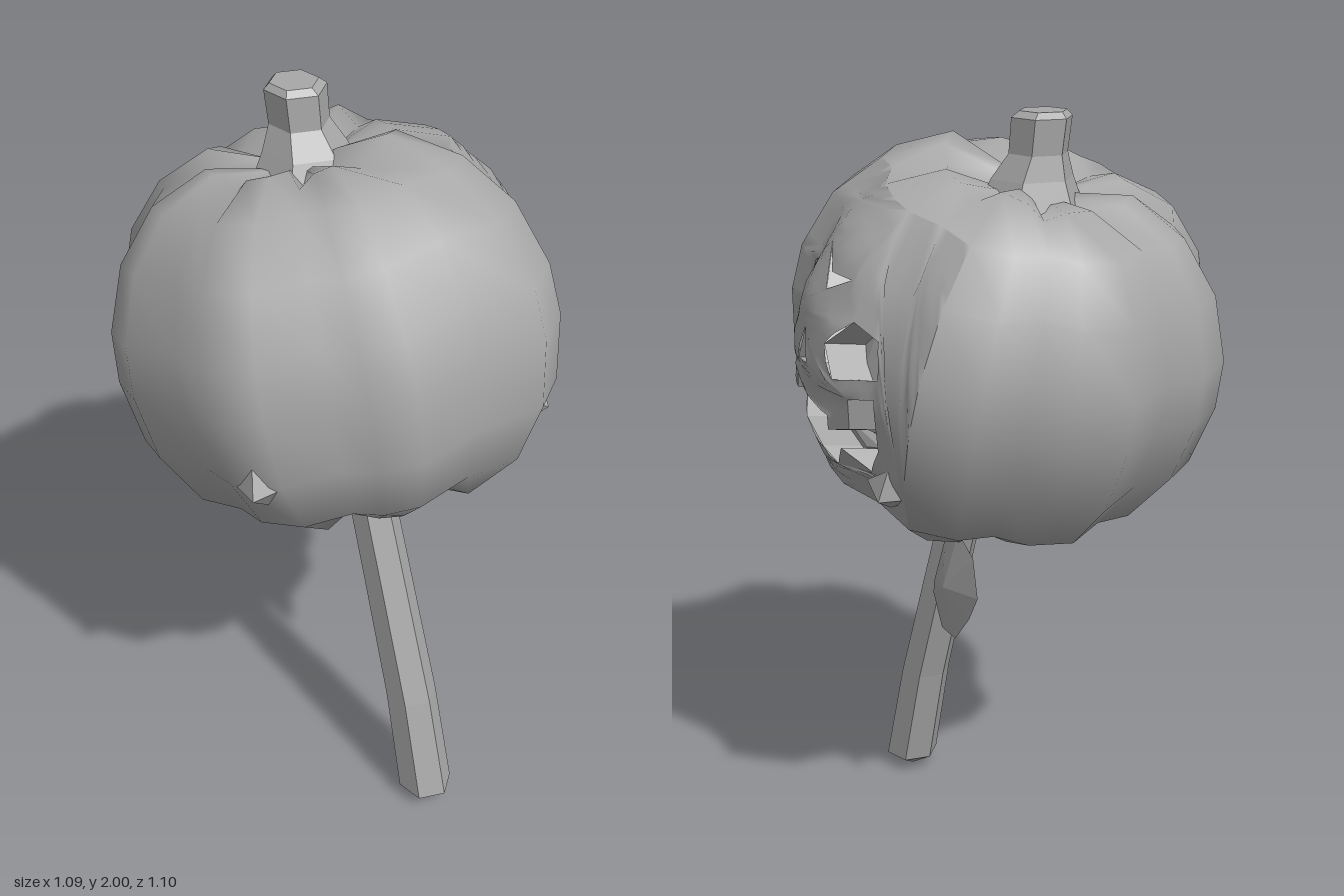
import * as THREE from 'three';
import { mergeVertices } from 'three/addons/utils/BufferGeometryUtils.js';

const grey = new THREE.MeshStandardMaterial({ color: 0xa8a8a8, side: THREE.DoubleSide });
grey.name = 'plain grey';

// Lobed outline (x, z) at the widest ring, ordered by angle
const outline = [
  [0.36, -0.46], [0.42, -0.31], [0.51, -0.2], [0.535, -0.1], [0.54, 0.03], [0.475, 0.2], [0.5, 0.28], [0.41, 0.42],
  [0.24, 0.45], [0.06, 0.55], [-0.05, 0.54], [-0.13, 0.48], [-0.28, 0.48], [-0.39, 0.38], [-0.43, 0.26],
  [-0.53, 0.13], [-0.55, 0], [-0.48, -0.19], [-0.48, -0.3], [-0.39, -0.39], [-0.27, -0.43], [-0.15, -0.54],
  [0, -0.55], [0.1, -0.5], [0.22, -0.52]];
// Profile rows: height, outline scale
const rows = [[0.39, 0], [0.4, 0.18], [0.43, 0.42], [0.38, 0.68], [0.26, 0.87], [0.1, 0.98],
  [-0.03, 1], [-0.2, 0.95], [-0.35, 0.8], [-0.43, 0.54], [-0.42, 0.2], [-0.38, 0]];
const faceCols = 6, rowA = 3, rowB = 8;   // columns and rows replaced by the carved face panel

function lerpTable(table, x) {            // piecewise linear lookup of [key, value] pairs, rising keys
  let i = 0;
  while (i < table.length - 2 && x > table[i + 1][0]) i++;
  const [a, b] = [table[i], table[i + 1]];
  return a[1] + (b[1] - a[1]) * (x - a[0]) / (b[0] - a[0]);
}
const scaleAt = h => lerpTable(rows.slice(rowA, rowB + 1).reverse(), h);
const faceX = outline.slice(0, faceCols + 1).map(([x, z]) => [z, x]);

// Face panel coordinates (-q, h) to the pumpkin surface, optionally sunk inwards
function facePoint(v, sink = 0) {
  const s = scaleAt(v.y);
  return new THREE.Vector3(lerpTable(faceX, -v.x) * s - sink, v.y, -v.x * s);
}
// A point seen from the face side (z, y) to panel coordinates, undoing the tilt
function panelPoint([z, y]) {
  const h = (y - 1.48) * 0.97 - z * 0.23, zl = z * 0.97 + (y - 1.48) * 0.23;
  return new THREE.Vector2(-zl / scaleAt(h), h);
}

const carvings = {
  leftEye: [[0.19, 1.56], [0.16, 1.62], [0.03, 1.65], [0.02, 1.54], [0.11, 1.49]],
  rightEye: [[-0.18, 1.49], [-0.25, 1.56], [-0.31, 1.53], [-0.32, 1.44], [-0.21, 1.41]],
  nose: [[-0.06, 1.5], [-0.01, 1.41], [-0.1, 1.42]],
  browMark: [[-0.05, 1.71], [-0.12, 1.65], [-0.21, 1.65], [-0.13, 1.61]],
  mouth: [[0.19, 1.35], [0.12, 1.4], [0.1, 1.34], [0.04, 1.32], [0.02, 1.36], [-0.08, 1.33], [-0.17, 1.31],
    [-0.16, 1.27], [-0.22, 1.29], [-0.24, 1.37], [-0.31, 1.39], [-0.3, 1.26], [-0.24, 1.19], [-0.18, 1.23],
    [-0.12, 1.17], [-0.07, 1.2], [0.08, 1.23], [0.17, 1.29]]
};

function geometryFrom(points) {
  const g = new THREE.BufferGeometry().setFromPoints(points);
  g.computeVertexNormals();
  return g;
}
function mesh(name, geometry) {
  const m = new THREE.Mesh(geometry, grey);
  m.name = name;
  return m;
}

// Triangles of a flat shape, each split into four `n` times
function shapeTriangles(shape, n) {
  let t = [];
  const g = new THREE.ShapeGeometry(shape), p = g.attributes.position;
  for (const i of g.index.array) t.push(new THREE.Vector2(p.getX(i), p.getY(i)));
  for (; n > 0; n--) {
    const next = [];
    for (let i = 0; i < t.length; i += 3) {
      const [a, b, c] = t.slice(i, i + 3);
      const mid = (u, v) => u.clone().add(v).multiplyScalar(0.5);
      const ab = mid(a, b), bc = mid(b, c), ca = mid(c, a);
      next.push(a, ab, ca, ab, b, bc, ca, bc, c, ab, bc, ca);
    }
    t = next;
  }
  return t;
}

function pumpkinShell() {
  const n = outline.length, pts = [];
  const at = (i, j) => {
    const [x, z] = outline[j % n], [h, s] = rows[i];
    // grooves run deeper over the shoulders
    const dip = (i >= rowA && i <= rowB) || s === 0 ? 1 : Math.hypot(x, z) / 0.54;
    return new THREE.Vector3(x * s, h * dip, z * s);
  };
  for (let i = 0; i < rows.length - 1; i++) for (let j = 0; j < n; j++) {
    if (j < faceCols && i >= rowA && i < rowB) continue;
    const a = at(i, j), b = at(i, j + 1), c = at(i + 1, j + 1), d = at(i + 1, j);
    if (i > 0) pts.push(a, b, d);
    if (i < rows.length - 2) pts.push(b, c, d);
    else pts.push();
  }
  // Carved panel, with border points matching the shell
  const border = [], V = (q, h) => border.push(new THREE.Vector2(-q, h));
  const top = rows[rowA][0], bottom = rows[rowB][0];
  for (let j = 0; j < faceCols; j++) V(outline[j][1], top);
  for (let i = rowA; i < rowB; i++) V(outline[faceCols][1], rows[i][0]);
  for (let j = faceCols; j > 0; j--) V(outline[j][1], bottom);
  for (let i = rowB; i > rowA; i--) V(outline[0][1], rows[i][0]);
  const panel = new THREE.Shape(border);
  for (const c of Object.values(carvings)) panel.holes.push(new THREE.Path(c.map(panelPoint)));
  pts.push(...shapeTriangles(panel, 2).map(v => facePoint(v)));
  const g = mergeVertices(new THREE.BufferGeometry().setFromPoints(pts), 1e-4);
  g.computeVertexNormals();
  return g;
}

// Walls and floor of one carved opening
function pocket(points) {
  const loop = points.map(panelPoint), pts = [], depth = 0.1;
  if (!THREE.ShapeUtils.isClockWise(loop)) loop.reverse();
  loop.forEach((v, i) => {
    const w = loop[(i + 1) % loop.length];
    const a = facePoint(v), b = facePoint(w), c = facePoint(w, depth), d = facePoint(v, depth);
    pts.push(a, b, d, b, c, d);
  });
  pts.push(...shapeTriangles(new THREE.Shape(loop), 1).map(v => facePoint(v, depth)));
  return geometryFrom(pts);
}

// Six-sided rod through rings of [x, y, z, radius]
function rod(rings, sides = 6) {
  const pts = [];
  const at = ([x, y, z, r], k) => {
    const a = k / sides * Math.PI * 2;
    return new THREE.Vector3(x + r * Math.cos(a), y, z + r * Math.sin(a));
  };
  for (let i = 0; i < rings.length - 1; i++) for (let k = 0; k < sides; k++) {
    const a = at(rings[i], k), b = at(rings[i], k + 1), c = at(rings[i + 1], k + 1), d = at(rings[i + 1], k);
    pts.push(a, d, b, b, d, c);
  }
  return geometryFrom(pts);
}

// Thick leaf: two fans meeting at a tilted rim
function leaf() {
  const rim = [[0.13, 0.7], [0.1, 0.83], [0, 0.89], [-0.15, 0.875], [-0.235, 0.8], [-0.2, 0.73], [-0.12, 0.64], [0, 0.62], [0.12, 0.67]]
    .map(([z, y]) => new THREE.Vector3(0.155 - (y - 0.75) * 0.18, y, z));
  const pts = [], near = new THREE.Vector3(0.185, 0.755, -0.04), far = new THREE.Vector3(0.125, 0.755, -0.04);
  rim.forEach((a, i) => {
    const b = rim[(i + 1) % rim.length];
    pts.push(near, b, a, far, a, b);
  });
  return geometryFrom(pts.map(p => p.clone()));
}

export function createModel() {
  const model = new THREE.Group();
  model.name = 'pumpkinOnStick';

  const pumpkin = new THREE.Group();
  pumpkin.name = 'pumpkin';
  pumpkin.position.y = 1.42;
  const up = new THREE.Vector3(0, 1, 0);
  pumpkin.quaternion.setFromUnitVectors(up, new THREE.Vector3(-0.12, 1, -0.24).normalize());
  pumpkin.add(mesh('shell', pumpkinShell()));
  for (const [name, points] of Object.entries(carvings)) pumpkin.add(mesh(name, pocket(points)));
  model.add(pumpkin);

  // Chipped marks on the lobes beside the face
  for (const [x, y, z, turn] of [[0.415, 1.34, 0.38, 0.3], [-0.3, 1.27, 0.46, 1.2], [0.4, 1.14, -0.32, 2]]) {
    const chip = mesh('chip', new THREE.ConeGeometry(0.065, 0.05, 4).toNonIndexed());
    chip.geometry.computeVertexNormals();
    chip.position.set(x, y, z);
    chip.quaternion.setFromUnitVectors(up, new THREE.Vector3(x, (y - 1.42) * 0.8, z).normalize());
    chip.rotateY(turn);
    model.add(chip);
  }

  model.add(mesh('stem', rod([[-0.03, 1.74, -0.1, 0.15], [-0.035, 1.84, -0.11, 0.105], [-0.045, 1.9, -0.125, 0.075],
    [-0.052, 1.985, -0.13, 0.077], [-0.055, 2, -0.13, 0.06], [-0.055, 2, -0.13, 0]])));
  model.add(mesh('handle', rod([[0.18, 0, 0.365, 0], [0.18, 0.045, 0.37, 0.075], [0.15, 0.35, 0.3, 0.07],
    [0.105, 0.7, 0.2, 0.065], [0.05, 1.12, 0.08, 0.06]])));
  model.add(mesh('leaf', leaf()));
  return model;
}
